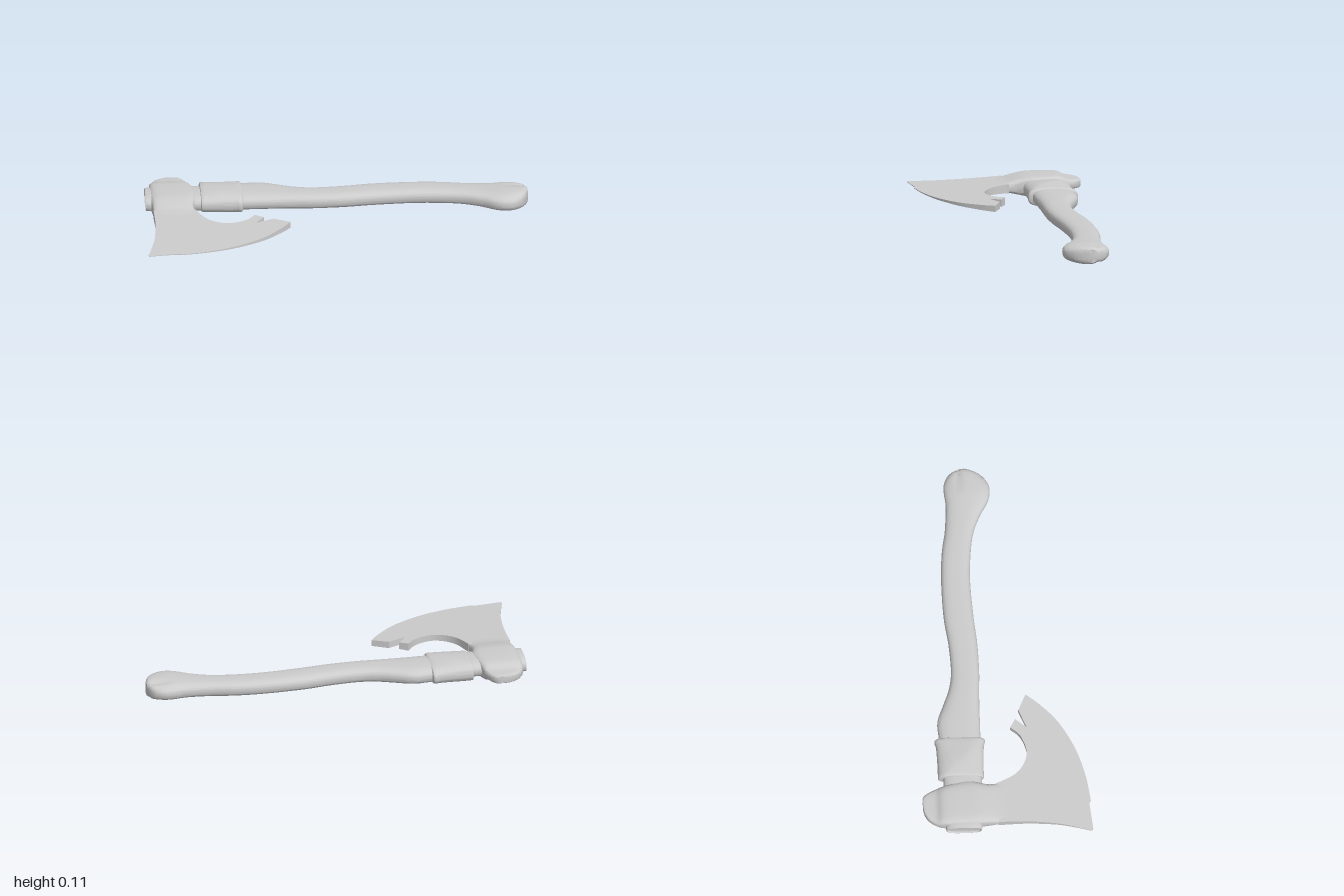
import * as THREE from 'three';
import { toCreasedNormals } from 'three/addons/utils/BufferGeometryUtils.js';

const MID = 0.058; // height of the plane the axe lies in

// Lofts rounded sections along x or z. Station: [position, low edge, high edge, half thickness].
function loft(stations, { axis = 'x', rows = 40, seg = 32, power = 2.5, crease = 0.7, rule } = {}) {
  const edges = new THREE.CatmullRomCurve3(stations.map(s => new THREE.Vector3(s[0], s[1], s[2])), false, 'catmullrom', 0.5);
  const thick = new THREE.CatmullRomCurve3(stations.map(s => new THREE.Vector3(s[3], 0, 0)), false, 'catmullrom', 0.5);
  const pos = [], index = [];
  const round = v => Math.sign(v) * Math.abs(v) ** (2 / power);
  const add = (p, a, y) => {
    const v = axis === 'x' ? new THREE.Vector3(p, y, a) : new THREE.Vector3(a, y, p);
    if (rule) rule(v);
    pos.push(v.x, v.y + MID, v.z);
  };
  const tri = (a, b, c) => (axis === 'x' ? index.push(a, c, b) : index.push(a, b, c));
  for (let i = 0; i <= rows; i++) {
    const e = edges.getPoint(i / rows), h = thick.getPoint(i / rows).x;
    for (let j = 0; j < seg; j++) {
      const t = (j / seg) * Math.PI * 2;
      add(e.x, (e.y + e.z) / 2 + (e.z - e.y) / 2 * round(Math.cos(t)), h * round(Math.sin(t)));
    }
  }
  for (let i = 0; i < rows; i++) for (let j = 0; j < seg; j++) {
    const a = i * seg + j, b = i * seg + (j + 1) % seg;
    tri(a, b, a + seg);
    tri(b, b + seg, a + seg);
  }
  // end caps
  const first = stations[0], last = stations[stations.length - 1], c = (rows + 1) * seg;
  add(first[0], (first[1] + first[2]) / 2, 0);
  add(last[0], (last[1] + last[2]) / 2, 0);
  for (let j = 0; j < seg; j++) {
    const k = (j + 1) % seg;
    tri(c, k, j);
    tri(c + 1, rows * seg + j, rows * seg + k);
  }
  const g = new THREE.BufferGeometry();
  g.setAttribute('position', new THREE.Float32BufferAttribute(pos, 3));
  g.setIndex(index);
  return toCreasedNormals(g, crease);
}

function bladeGeometry() {
  const v = pts => pts.map(p => new THREE.Vector2(...p));
  const s = new THREE.Shape();
  s.moveTo(-0.945, -0.05);
  s.splineThru(v([[-0.944, 0.1], [-0.957, 0.25], [-0.978, 0.35], [-1, 0.43]]));
  // cutting edge with a small nick
  s.lineTo(-0.99, 0.438);
  s.lineTo(-0.85, 0.422);
  s.lineTo(-0.835, 0.43);
  s.splineThru(v([[-0.7, 0.408], [-0.55, 0.36], [-0.4, 0.275], [-0.3, 0.18], [-0.245, 0.11]]));
  // split tip of the beard
  s.lineTo(-0.33, 0.07);
  s.lineTo(-0.425, 0.11);
  s.lineTo(-0.38, 0.052);
  s.lineTo(-0.425, 0.025);
  s.splineThru(v([[-0.47, 0.075], [-0.55, 0.105], [-0.62, 0.092], [-0.68, 0.045], [-0.72, -0.03], [-0.725, -0.05]]));
  const g = new THREE.ExtrudeGeometry(s, { depth: 2, bevelEnabled: false, curveSegments: 24 });
  g.rotateX(Math.PI / 2).translate(0, 1, 0);
  // wedge taper toward the cutting edge
  const p = g.attributes.position;
  for (let i = 0; i < p.count; i++) {
    p.setY(i, MID + p.getY(i) * (0.001 + 0.047 * (0.44 - p.getZ(i))));
  }
  return toCreasedNormals(g, 0.5);
}

export function createModel() {
  const group = new THREE.Group();
  const material = new THREE.MeshStandardMaterial({ color: 0xcccccc });
  const part = (name, geometry) => {
    const m = new THREE.Mesh(geometry, material);
    m.name = name;
    group.add(m);
  };

  // curved handle with a flared, creased butt
  part('handle', loft([
    [-0.97, -0.31, -0.15, 0.034], [-0.955, -0.325, -0.135, 0.041], [-0.7, -0.33, -0.13, 0.042],
    [-0.48, -0.345, -0.13, 0.044], [-0.38, -0.35, -0.13, 0.044], [-0.29, -0.318, -0.13, 0.043],
    [-0.2, -0.285, -0.128, 0.042], [-0.1, -0.271, -0.125, 0.041], [0.05, -0.28, -0.13, 0.041],
    [0.2, -0.3, -0.145, 0.041], [0.4, -0.306, -0.156, 0.041], [0.55, -0.298, -0.148, 0.041],
    [0.66, -0.28, -0.13, 0.041], [0.75, -0.272, -0.095, 0.042], [0.82, -0.27, -0.055, 0.045],
    [0.87, -0.276, -0.04, 0.048], [0.92, -0.277, -0.045, 0.048], [0.965, -0.258, -0.078, 0.047],
    [0.988, -0.232, -0.115, 0.044], [1, -0.205, -0.15, 0.036],
  ], {
    rows: 114, seg: 48, power: 2.8,
    rule: v => {
      const start = THREE.MathUtils.smoothstep(v.x, 0.83, 0.96);
      const groove = Math.max(0, 1 - Math.abs(v.z + 0.2) / 0.025);
      v.y *= 1 - start * (0.16 * groove + (v.z < -0.2 ? 0.1 : 0));
    },
  }));

  // leather wrap with a diagonal fold and raised rims
  part('wrap', loft([
    [-0.694, -0.345, -0.13, 0.044], [-0.69, -0.356, -0.12, 0.052], [-0.67, -0.357, -0.119, 0.055],
    [-0.6, -0.358, -0.118, 0.057], [-0.52, -0.362, -0.114, 0.055], [-0.495, -0.369, -0.108, 0.053],
    [-0.482, -0.367, -0.11, 0.05], [-0.476, -0.352, -0.125, 0.043],
  ], {
    rows: 42, seg: 48, power: 2.8, crease: 0.5,
    rule: v => {
      const d = Math.abs((v.x + 0.69) * 0.74 - (v.z + 0.33) * 0.67);
      v.y *= 0.9 + 0.1 * Math.max(0, 1 - d / 0.09);
    },
  }));

  // eye and poll of the head, pinching down to the blade
  part('headEye', loft([
    [-0.44, -0.85, -0.8, 0.019], [-0.432, -0.885, -0.787, 0.023], [-0.41, -0.92, -0.77, 0.025],
    [-0.37, -0.946, -0.752, 0.029], [-0.335, -0.953, -0.741, 0.046], [-0.28, -0.956, -0.727, 0.052],
    [-0.2, -0.955, -0.715, 0.053], [-0.15, -0.952, -0.724, 0.051], [-0.1, -0.948, -0.734, 0.041],
    [-0.05, -0.945, -0.728, 0.028], [-0.01, -0.943, -0.712, 0.0225], [0.02, -0.942, -0.7, 0.018],
  ], { axis: 'z', rows: 44, seg: 40, power: 5 }));

  // bearded blade
  part('blade', bladeGeometry());

  return group;
}
